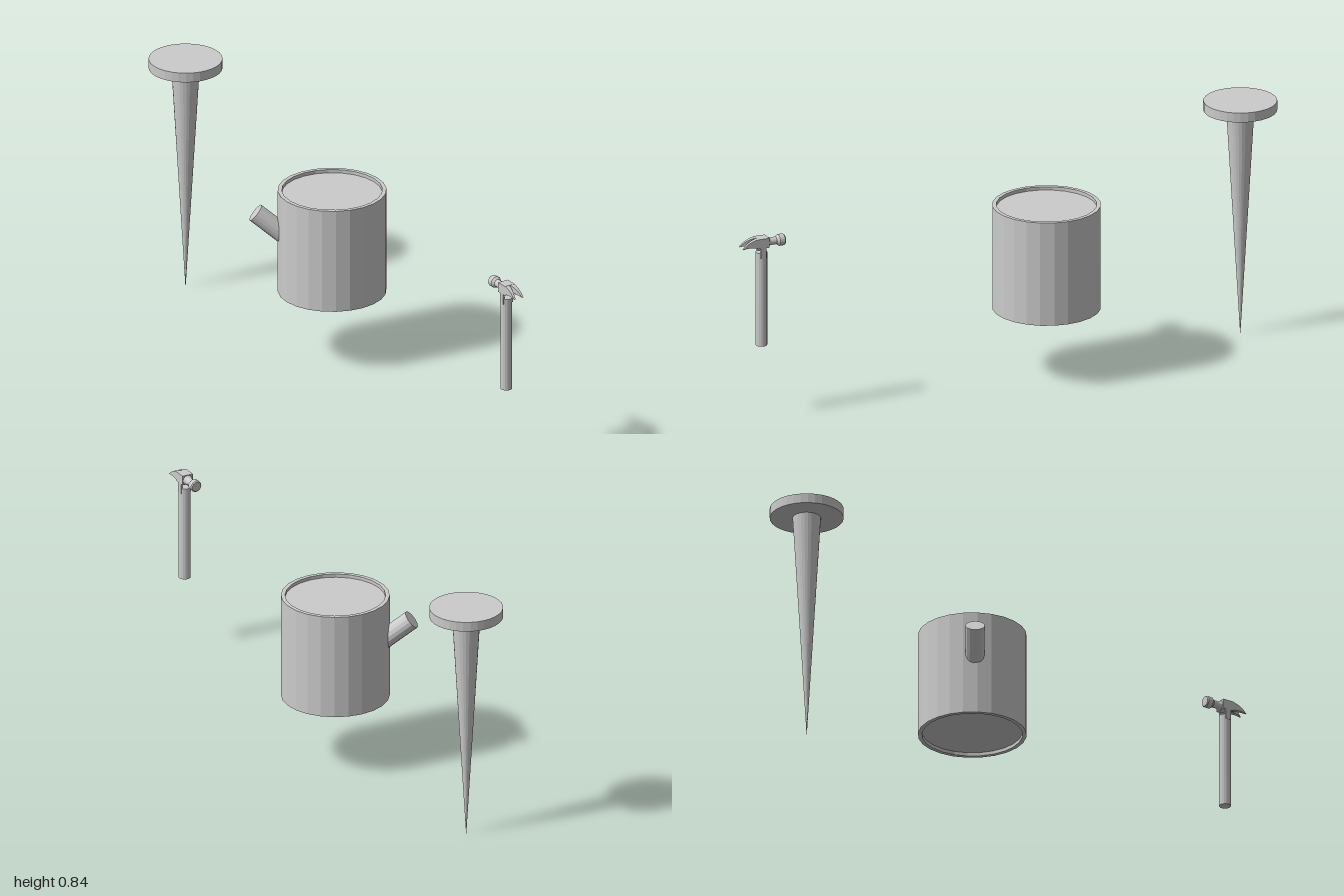
import * as THREE from 'three';

const grey = new THREE.MeshStandardMaterial({ color: 0xcccccc, flatShading: true });

function add(parent, name, geometry, x = 0, y = 0, z = 0) {
  const mesh = new THREE.Mesh(geometry, grey);
  mesh.name = name;
  mesh.position.set(x, y, z);
  parent.add(mesh);
  return mesh;
}

function subGroup(parent, name, x, z) {
  const group = new THREE.Group();
  group.name = name;
  group.position.set(x, 0, z);
  parent.add(group);
  return group;
}

const lathe = (points, sides) =>
  new THREE.LatheGeometry(points.map(([r, y]) => new THREE.Vector2(r, y)), sides);

// One claw prong: curved side profile (z, y), its inner face splayed to leave a V notch
function prongGeometry(side) {
  const shape = new THREE.Shape();
  shape.moveTo(0.015, 0.64);
  shape.quadraticCurveTo(0.05, 0.638, 0.075, 0.61);
  shape.quadraticCurveTo(0.05, 0.617, 0.015, 0.608);
  const geometry = new THREE.ExtrudeGeometry(shape, { depth: 1, bevelEnabled: false, curveSegments: 5 });
  geometry.rotateY(-Math.PI / 2);
  const p = geometry.attributes.position;
  for (let i = 0; i < p.count; i++) {
    const inner = 0.001 + 0.012 * Math.max(0, (p.getZ(i) - 0.02) / 0.055);
    const t = side > 0 ? 1 + p.getX(i) : -p.getX(i);
    p.setX(i, side * THREE.MathUtils.lerp(inner, 0.019, t));
  }
  geometry.computeVertexNormals();
  return geometry;
}

export function createModel() {
  const model = new THREE.Group();
  model.name = 'drumHammerAndNail';

  // Drum with shallow recessed ends
  const drum = subGroup(model, 'drum', 0.028, -0.125);
  add(drum, 'drumBody', lathe([
    [0, 0.247], [0.17, 0.247], [0.17, 0.235], [0.184, 0.235],
    [0.184, 0.605], [0.17, 0.605], [0.17, 0.593], [0, 0.593],
  ], 24));

  // Spout rising outwards from the drum wall
  const tip = new THREE.Vector3(-0.216, 0.522, -0.142);
  const direction = new THREE.Vector3(-1, 1, -0.7).normalize();
  const length = 0.17;
  const spout = add(drum, 'spout', new THREE.CylinderGeometry(0.033, 0.033, length, 16));
  spout.position.copy(tip).addScaledVector(direction, -length / 2);
  spout.quaternion.setFromUnitVectors(new THREE.Vector3(0, 1, 0), direction);

  // Nail standing on its point
  const nail = subGroup(model, 'nail', -0.061, -0.875);
  add(nail, 'nailHead', new THREE.CylinderGeometry(0.125, 0.125, 0.034, 32), 0, 0.822);
  add(nail, 'nailShaft', new THREE.CylinderGeometry(0.048, 0.0005, 0.806, 24), 0, 0.403);

  // Hammer, claw towards +z
  const hammer = subGroup(model, 'hammer', 0.028, 0.923);
  add(hammer, 'handle', new THREE.CylinderGeometry(0.02, 0.02, 0.335, 16), 0, 0.4205);
  add(hammer, 'headBlock', new THREE.BoxGeometry(0.04, 0.034, 0.042), 0, 0.623);
  // Side cheeks reaching down over the handle
  for (const side of [-1, 1]) {
    add(hammer, 'cheek', new THREE.BoxGeometry(0.006, 0.04, 0.02), side * 0.017, 0.59);
    add(hammer, 'clawProng', prongGeometry(side));
  }
  // Neck and striking face
  const striker = lathe([
    [0, -0.084], [0.017, -0.084], [0.02, -0.08], [0.02, -0.062],
    [0.013, -0.053], [0.013, -0.032], [0.018, -0.02], [0, -0.02],
  ], 16);
  striker.rotateX(Math.PI / 2);
  add(hammer, 'strikingFace', striker, 0, 0.621);

  return model;
}
